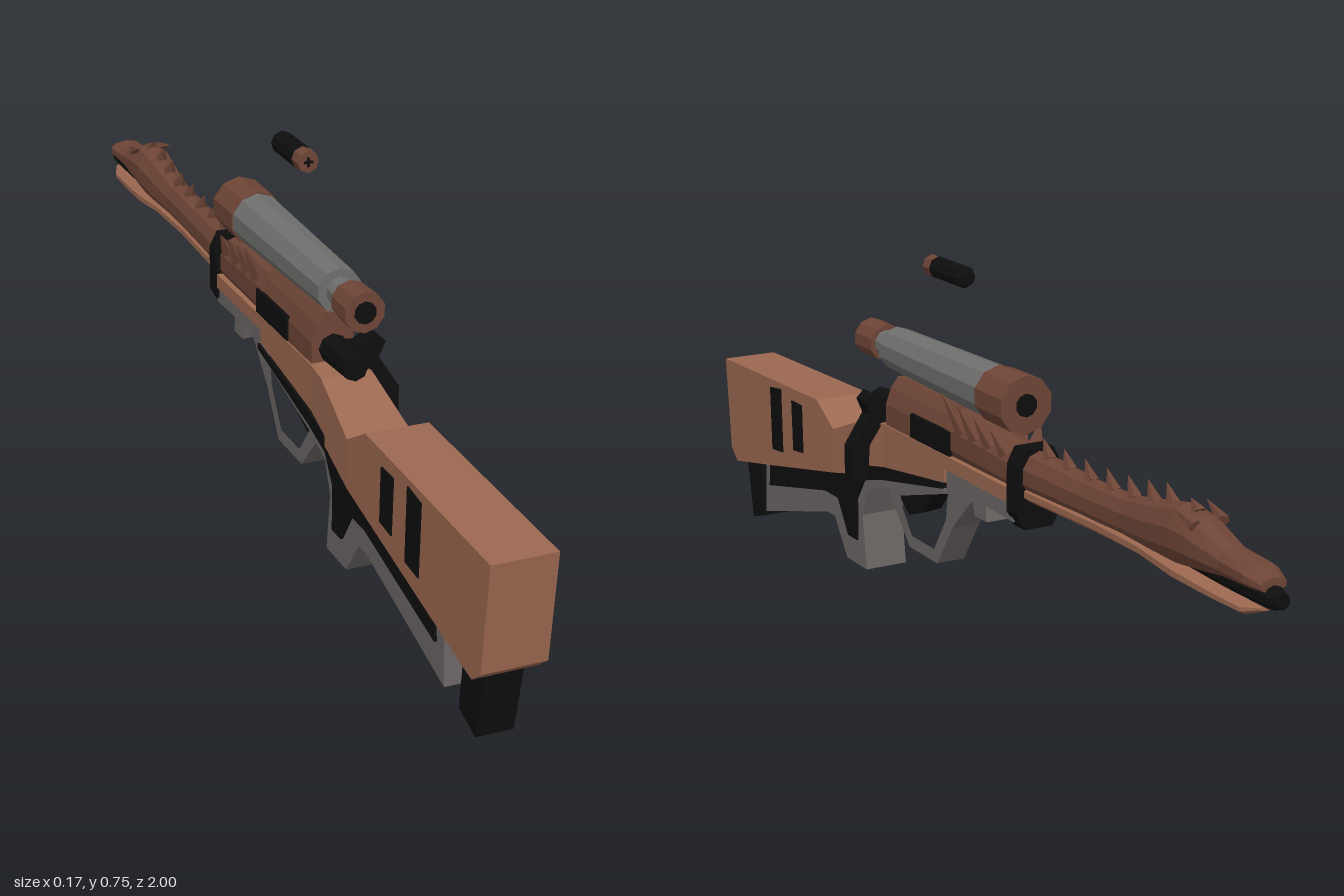
import * as THREE from 'three';

const mat = (name, color) => {
  const m = new THREE.MeshStandardMaterial({ color });
  m.name = name;
  return m;
};

export function createModel() {
  const wood = mat('light wood', 0x9c6850);
  const dark = mat('dark wood', 0x6e4536);
  const grey = mat('grey metal', 0x6b6664);
  const tube = mat('scope grey', 0x6f6f6d);
  const black = mat('black', 0x0e0e0e);

  const model = new THREE.Group();
  const body = new THREE.Group();
  body.name = 'rifle';
  body.position.x = -0.02; // the rifle's own midline
  model.add(body);

  const add = (name, geo, material) => {
    const mesh = new THREE.Mesh(geo, material);
    mesh.name = name;
    body.add(mesh);
    return mesh;
  };
  const shapeOf = (pts) => new THREE.Shape(pts.map((p) => new THREE.Vector2(...p)));

  // Side outline in (z, y), extruded across x and centred at cx
  const slab = (name, pts, width, material, cx = 0, hole = null) => {
    const s = shapeOf(pts);
    if (hole) s.holes.push(new THREE.Path(hole.map((p) => new THREE.Vector2(...p))));
    const g = new THREE.ExtrudeGeometry(s, { depth: width, bevelEnabled: false });
    g.rotateY(-Math.PI / 2).translate(cx + width / 2, 0, 0);
    return add(name, g, material);
  };

  // Front outline in (x, y), extruded from z0 up to z1
  const bar = (name, pts, z0, z1, material) => {
    const g = new THREE.ExtrudeGeometry(shapeOf(pts), { depth: z1 - z0, bevelEnabled: false });
    return add(name, g.translate(0, 0, z0), material);
  };

  // Round part along z; r0 at the z0 end, r1 at the z1 end
  const rod = (name, y, z0, r0, z1, r1, material, sides = 10) => {
    const g = new THREE.CylinderGeometry(r1, r0, z1 - z0, sides).toNonIndexed();
    g.computeVertexNormals();
    g.rotateX(Math.PI / 2).translate(0, y, (z0 + z1) / 2);
    return add(name, g, material);
  };

  // Spike from a base point to a tip
  const spike = (name, base, tip, r) => {
    const a = new THREE.Vector3(...base), b = new THREE.Vector3(...tip);
    const d = b.clone().sub(a);
    const g = new THREE.ConeGeometry(r, d.length(), 5).toNonIndexed();
    g.computeVertexNormals();
    const m = add(name, g, dark);
    m.position.copy(a).add(b).multiplyScalar(0.5);
    m.quaternion.setFromUnitVectors(new THREE.Vector3(0, 1, 0), d.normalize());
  };

  // Loft through sections [z, bottom, top, halfWidth], ordered towards -z
  const loft = (name, sections, material, n = 10) => {
    const pos = [], idx = [];
    for (const [z, lo, hi, w] of sections)
      for (let j = 0; j < n; j++) {
        const t = ((j + 0.5) / n) * Math.PI * 2;
        pos.push(Math.cos(t) * w, (lo + hi) / 2 + (Math.sin(t) * (hi - lo)) / 2, z);
      }
    const last = (sections.length - 1) * n;
    for (let i = 0; i < last; i += n)
      for (let j = 0; j < n; j++) {
        const k = (j + 1) % n;
        idx.push(i + j, i + n + j, i + k, i + k, i + n + j, i + n + k);
      }
    for (let j = 1; j < n - 1; j++) idx.push(0, j, j + 1, last, last + j + 1, last + j);
    const g = new THREE.BufferGeometry();
    g.setAttribute('position', new THREE.Float32BufferAttribute(pos, 3));
    g.setIndex(idx);
    const flat = g.toNonIndexed();
    flat.computeVertexNormals();
    return add(name, flat, material);
  };

  // Stock: butt, tapering wrist, fore-end
  slab('buttStock', [[1, 0.36], [0.98, 0.155], [0.95, 0.13], [0.78, 0.165], [0.45, 0.235],
    [0.45, 0.33], [0.527, 0.375]], 0.12, wood);
  const wrist = slab('stockWrist', [[0.45, 0.235], [0.25, 0.28], [0.25, 0.388], [0.31, 0.385],
    [0.45, 0.33]], 0.12, wood);
  const wp = wrist.geometry.attributes.position;
  for (let i = 0; i < wp.count; i++)
    wp.setX(i, wp.getX(i) * THREE.MathUtils.mapLinear(wp.getZ(i), 0.25, 0.45, 0.75, 1));
  wrist.geometry.computeVertexNormals();
  slab('foreStock', [[0.25, 0.28], [0, 0.33], [0, 0.36], [-0.26, 0.36], [-0.26, 0.388],
    [0.25, 0.388]], 0.09, wood);

  // Dark slots on both sides of the butt
  for (const s of [-1, 1]) {
    slab('rearSlot', [[0.755, 0.35], [0.75, 0.21], [0.698, 0.215], [0.702, 0.357]], 0.005, black, s * 0.06);
    slab('frontSlot', [[0.647, 0.345], [0.642, 0.235], [0.595, 0.24], [0.598, 0.345]], 0.005, black, s * 0.06);
  }

  // Foot pad under the butt with its connecting pin
  slab('footPad', [[0.95, 0.14], [0.922, 0], [0.86, 0.02], [0.875, 0.16]], 0.07, black);
  rod('padPin', 0.095, 0.80, 0.02, 0.88, 0.02, dark, 8);

  // Grip frame and its inlays
  slab('gripFrame', [[0.82, 0.16], [0.826, 0.042], [0.51, 0.13], [0.475, 0.13], [0.42, 0.055],
    [0.33, 0.055], [0.345, 0.17], [0.32, 0.23], [0.25, 0.255], [0, 0.315], [0, 0.335],
    [0.25, 0.29], [0.45, 0.245], [0.78, 0.175]], 0.092, grey);
  slab('gripInlay', [[0.79, 0.165], [0.795, 0.112], [0.51, 0.178], [0.45, 0.178], [0.405, 0.11],
    [0.365, 0.11], [0.365, 0.2], [0.33, 0.25], [0.25, 0.272], [0, 0.322], [0, 0.333],
    [0.25, 0.298], [0.38, 0.272], [0.45, 0.238]], 0.102, black);
  slab('underRail', [[0.02, 0.37], [-0.25, 0.37], [-0.25, 0.325], [-0.15, 0.328], [-0.155, 0.297],
    [-0.11, 0.297], [-0.1, 0.328], [-0.07, 0.33], [0.02, 0.305]], 0.08, grey);

  // Trigger guard and trigger
  slab('triggerGuard', [[0.26, 0.26], [0.24, 0.225], [0.17, 0.15], [0.055, 0.15], [-0.005, 0.24],
    [-0.08, 0.315], [-0.08, 0.34], [0, 0.33]], 0.06, grey, 0,
    [[0.215, 0.245], [0.16, 0.176], [0.068, 0.176], [0.02, 0.25], [0.012, 0.305]]);
  slab('trigger', [[0.23, 0.27], [0.225, 0.235], [0.19, 0.21], [0.13, 0.235], [0.09, 0.28],
    [0.09, 0.3]], 0.04, black);

  // Receiver with side windows
  bar('receiver', [[-0.042, 0.38], [0.042, 0.38], [0.042, 0.43], [0.03, 0.463], [0.014, 0.484],
    [-0.014, 0.484], [-0.03, 0.463], [-0.042, 0.43]], -0.01, 0.245, dark);
  loft('receiverFront', [[0, 0.36, 0.484, 0.044], [-0.15, 0.36, 0.475, 0.042],
    [-0.26, 0.36, 0.462, 0.038]], dark);
  for (const s of [-1, 1])
    slab('receiverWindow', [[0.135, 0.39], [-0.02, 0.39], [-0.02, 0.438], [0.135, 0.438]], 0.008, black, s * 0.042);

  // Bolt and its bent handle
  rod('bolt', 0.413, 0.24, 0.028, 0.35, 0.024, black, 8);
  bar('boltHandle', [[0, 0.4], [0.045, 0.38], [0.07, 0.345], [0.075, 0.272], [0.108, 0.272],
    [0.108, 0.342], [0.067, 0.405], [0.08, 0.435], [0.063, 0.452], [0.03, 0.433], [0, 0.435]],
    0.262, 0.3, black);

  // Clamp round the barrel root
  bar('clamp', [[-0.03, 0.315], [0.03, 0.315], [0.046, 0.345], [0.046, 0.435], [0.03, 0.466],
    [-0.03, 0.466], [-0.046, 0.435], [-0.046, 0.345]], -0.275, -0.237, black);

  // Scope
  const sy = 0.535;
  rod('eyepiece', sy, 0.32, 0.037, 0.387, 0.039, dark);
  rod('eyepieceNeck', sy, 0.27, 0.027, 0.325, 0.027, tube);
  rod('scopeTube', sy, -0.13, 0.052, 0.275, 0.043, tube);
  rod('scopeBell', sy, -0.227, 0.056, -0.13, 0.055, dark);
  rod('rearLens', sy, 0.382, 0.021, 0.39, 0.021, black);
  rod('frontLens', sy, -0.23, 0.022, -0.222, 0.022, black);

  // Hovering capsule
  rod('capsuleBody', 0.73, 0, 0.022, 0.1, 0.022, black, 8);
  rod('capsuleNose', 0.73, -0.015, 0.014, 0, 0.022, black, 8);
  rod('capsuleCap', 0.73, 0.1, 0.022, 0.128, 0.021, dark, 8);
  for (const turn of [0, Math.PI / 2]) {
    const c = add('capsuleMark', new THREE.BoxGeometry(0.018, 0.005, 0.004), black);
    c.position.set(0, 0.73, 0.128);
    c.rotation.z = turn;
  }

  // Creature-shaped barrel: neck with upper head, belly with lower jaw, muzzle
  loft('neckAndHead', [[-0.26, 0.372, 0.462, 0.037], [-0.45, 0.378, 0.458, 0.031],
    [-0.58, 0.38, 0.463, 0.03], [-0.66, 0.38, 0.478, 0.036], [-0.74, 0.385, 0.495, 0.042],
    [-0.79, 0.392, 0.488, 0.042], [-0.87, 0.405, 0.458, 0.034], [-0.94, 0.41, 0.452, 0.037],
    [-0.975, 0.412, 0.438, 0.026]], dark);
  loft('bellyAndJaw', [[-0.26, 0.364, 0.402, 0.034], [-0.5, 0.37, 0.405, 0.029],
    [-0.64, 0.372, 0.405, 0.033], [-0.75, 0.364, 0.4, 0.04], [-0.85, 0.362, 0.392, 0.036],
    [-0.93, 0.364, 0.388, 0.033], [-0.965, 0.38, 0.39, 0.018]], wood);
  rod('muzzle', 0.405, -0.98, 0.02, -0.7, 0.02, black);
  rod('muzzleTip', 0.405, -1, 0.014, -0.98, 0.02, black);
  for (const s of [-1, 1]) spike('browHorn', [s * 0.028, 0.475, -0.8], [s * 0.036, 0.496, -0.74], 0.012);

  // Spines along the neck and flared spines beside the scope
  const spines = [-0.31, -0.38, -0.45, -0.52, -0.585, -0.645, -0.7, -0.77];
  spines.forEach((z, i) => {
    const y = [0.455, 0.453, 0.452, 0.454, 0.459, 0.468, 0.478, 0.485][i];
    spike('neckSpine', [0, y, z], [0, y + (i < 7 ? 0.035 : 0.02), z + 0.022], 0.014);
  });
  for (const s of [-1, 1])
    [-0.05, -0.1, -0.155, -0.21].forEach((z, i) =>
      spike('sideSpine', [s * 0.03, 0.445, z], [s * (0.067 - i * 0.004), 0.523 - i * 0.011, z + 0.022], 0.017));

  return model;
}
